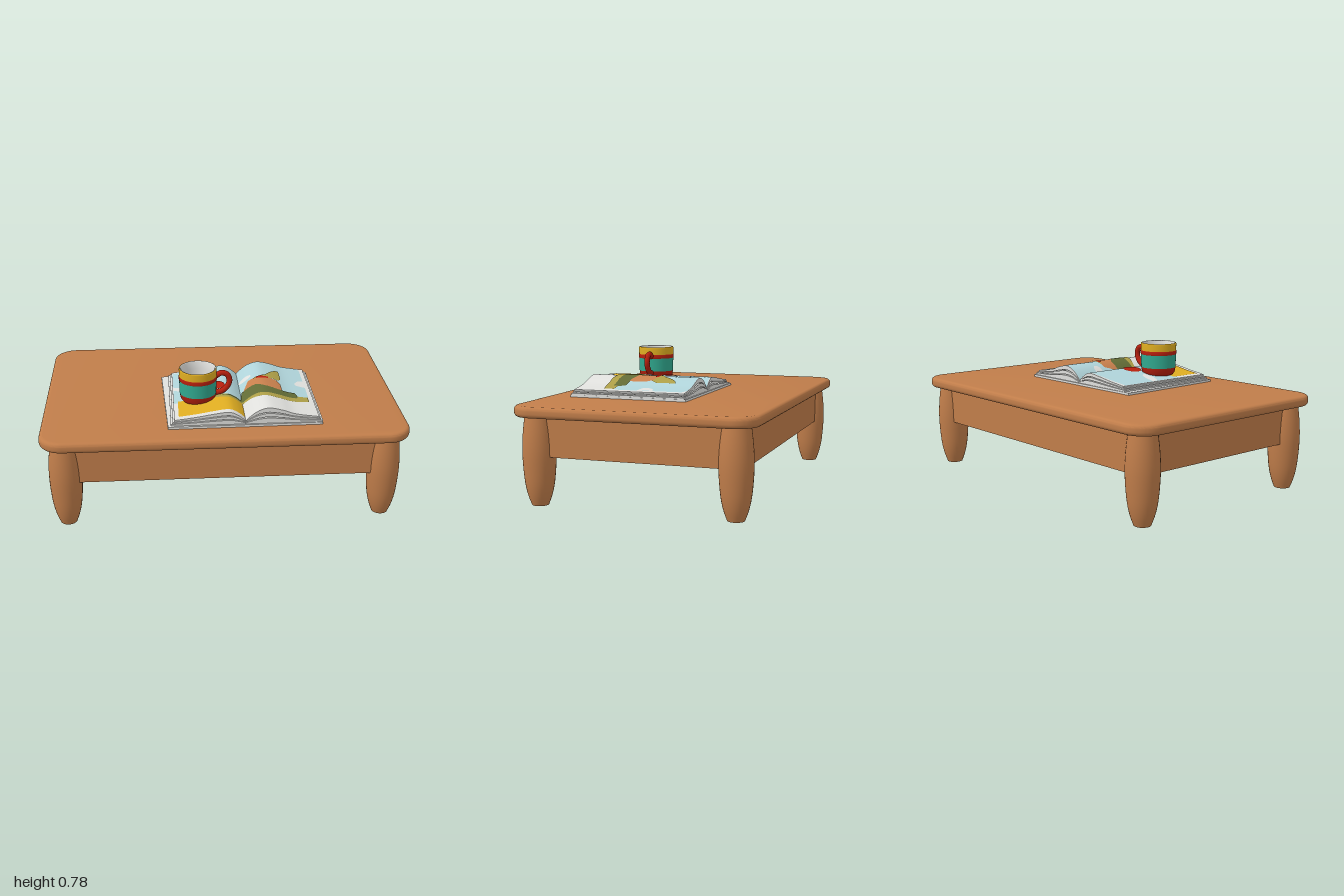
import * as THREE from 'three';
import { toCreasedNormals } from 'three/addons/utils/BufferGeometryUtils.js';

const mat = (name, color, side = THREE.FrontSide) =>
  Object.assign(new THREE.MeshStandardMaterial({ color, side }), { name });

const wood = mat('wood', 0xc07d4a);
const white = mat('paperWhite', 0xe0e0dd, THREE.DoubleSide);
const sky = mat('skyBlue', 0xb0d4da);
const yellow = mat('yellow', 0xe0ae22, THREE.DoubleSide);
const olive = mat('olive', 0xae9f47);
const darkGreen = mat('darkGreen', 0x636c36);
const red = mat('red', 0xb8200e, THREE.DoubleSide);
const teal = mat('teal', 0x31aa90, THREE.DoubleSide);
const coffeeBrown = mat('coffeeBrown', 0x40220c);
const orange = mat('orange', 0xc9804d);

function add(parent, name, geometry, material) {
  const mesh = new THREE.Mesh(geometry, material);
  mesh.name = name;
  parent.add(mesh);
  return mesh;
}

function namedGroup(parent, name) {
  const group = new THREE.Group();
  group.name = name;
  parent.add(group);
  return group;
}

const vec2 = (points) => points.map(([x, y]) => new THREE.Vector2(x, y));

// ---------- table ----------
const TOP_LOW = 0.478, TOP_HIGH = 0.537;

function roundedRect(w, d, r) {
  const s = new THREE.Shape();
  s.absarc(w - r, d - r, r, 0, Math.PI / 2);
  s.absarc(-w + r, d - r, r, Math.PI / 2, Math.PI);
  s.absarc(-w + r, -d + r, r, Math.PI, Math.PI * 1.5);
  s.absarc(w - r, -d + r, r, Math.PI * 1.5, Math.PI * 2);
  s.closePath();
  return s;
}

function buildTable(root) {
  const table = namedGroup(root, 'table');

  // rounded slab with soft edges
  const b = 0.022;
  const slab = new THREE.ExtrudeGeometry(roundedRect(1 - b, 0.67 - b, 0.11), {
    depth: TOP_HIGH - TOP_LOW - 2 * b, bevelThickness: b, bevelSize: b, bevelSegments: 5, curveSegments: 12,
  });
  slab.rotateX(-Math.PI / 2).translate(0, TOP_LOW + b, 0);
  add(table, 'tableTop', toCreasedNormals(slab, 0.6), wood);

  // closed box under the top, its corners buried in the legs
  const apron = new THREE.BoxGeometry(1.82, 0.22, 1.18).translate(0, 0.375, 0);
  add(table, 'apron', apron, wood);

  // bulging turned legs
  const side = new THREE.SplineCurve(vec2([
    [0.045, 0], [0.066, 0.06], [0.081, 0.14], [0.09, 0.27], [0.086, 0.38], [0.073, 0.49],
  ])).getPoints(20);
  const leg = new THREE.LatheGeometry([new THREE.Vector2(0, 0), new THREE.Vector2(0.045, 0), ...side], 32);
  for (const x of [-0.87, 0.87]) {
    for (const z of [-0.542, 0.542]) {
      add(table, (z > 0 ? 'front' : 'back') + (x > 0 ? 'Left' : 'Right') + 'Leg', leg, wood)
        .position.set(x, 0, z);
    }
  }
}

// ---------- open book ----------
const SPINE = 0.11, COVER_TOP = 0.55;
const leftPage = new THREE.SplineCurve(vec2([
  [0, 0.565], [0.04, 0.598], [0.09, 0.618], [0.18, 0.608], [0.28, 0.592], [0.44, 0.572],
])).getPoints(60);
const rightPage = new THREE.SplineCurve(vec2([
  [0, 0.565], [0.04, 0.602], [0.08, 0.626], [0.13, 0.637], [0.2, 0.622], [0.28, 0.596], [0.44, 0.572],
])).getPoints(60);

// height of the uppermost page at x
function pageY(x) {
  const pts = x < SPINE ? leftPage : rightPage;
  const t = Math.abs(x - SPINE);
  let i = 1;
  while (i < pts.length - 1 && pts[i].x < t) i++;
  const a = pts[i - 1], c = pts[i];
  return a.y + (c.y - a.y) * (t - a.x) / (c.x - a.x);
}

// painted plate following the page; rows are [x, back z, front z]
function patch(parent, name, material, layer, rows) {
  const pos = [], index = [];
  const lift = 0.0015 * layer;
  for (let r = 0; r < rows.length - 1; r++) {
    const [a, c] = [rows[r], rows[r + 1]];
    const n = Math.max(1, Math.ceil((c[0] - a[0]) / 0.012));
    for (let k = r === 0 ? 0 : 1; k <= n; k++) {
      const [x, z0, z1] = a.map((v, i) => v + (c[i] - v) * k / n);
      pos.push(x, pageY(x) + lift, z0, x, pageY(x) + lift, z1);
    }
  }
  for (let i = 0; i < pos.length / 3 - 2; i += 2) index.push(i, i + 1, i + 3, i, i + 3, i + 2);
  const g = new THREE.BufferGeometry();
  g.setAttribute('position', new THREE.Float32BufferAttribute(pos, 3));
  g.setIndex(index);
  g.computeVertexNormals();
  add(parent, name, g, material);
}

function ellipseRows(cx, cz, rx, rz) {
  return Array.from({ length: 17 }, (_, i) => {
    const a = Math.PI * i / 16, h = rz * Math.sin(a);
    return [cx - rx * Math.cos(a), cz - h, cz + h];
  });
}

function buildBook(root) {
  const book = namedGroup(root, 'openBook');

  // cover, slightly skewed on one side
  const cover = new THREE.ExtrudeGeometry(
    new THREE.Shape(vec2([[-0.31, -0.53], [0.53, -0.52], [0.535, 0.16], [-0.335, 0.155]])),
    { depth: COVER_TOP - TOP_HIGH, bevelEnabled: false });
  add(book, 'cover', cover.rotateX(-Math.PI / 2).translate(0, TOP_HIGH, 0), white);

  // page stacks: thinner and wider towards the cover
  const levels = [0, 0.35, 0.65, 1];
  for (const s of [-1, 1]) {
    for (let k = 0; k < 3; k++) {
      const reach = (s < 0 ? 0.385 : 0.4) + (2 - k) * 0.01;
      const top = [], bottom = [];
      for (let i = 0; i <= 28; i++) {
        const x = SPINE + s * Math.max(0.0005, reach * i / 28);
        const h = pageY(x) - COVER_TOP;
        top.push([x, COVER_TOP + h * levels[k + 1]]);
        bottom.unshift([x, COVER_TOP + h * (levels[k] + (k ? 0.06 : 0))]);
      }
      const inset = k * 0.004;
      const g = new THREE.ExtrudeGeometry(new THREE.Shape(vec2([...top, ...bottom])),
        { depth: 0.665 - 2 * inset, bevelEnabled: false });
      g.translate(0, 0, -0.15 + inset);
      add(book, (s < 0 ? 'right' : 'left') + 'PageStack', toCreasedNormals(g, 0.5), white);
    }
  }

  // picture spread
  const art = namedGroup(book, 'pagePicture');
  patch(art, 'skyRight', sky, 1, [[-0.27, -0.12, 0.3], [0.11, -0.14, 0.3]]);
  patch(art, 'skyLeft', sky, 1, [[0.11, -0.14, 0.3], [0.45, -0.14, 0.29], [0.485, -0.12, 0.27]]);
  patch(art, 'cloud', white, 2, [[-0.27, 0.09, 0.13], [-0.2, 0.1, 0.16], [-0.15, 0.12, 0.16], [-0.13, 0.15, 0.16]]);
  patch(art, 'cloudSmall', white, 2, ellipseRows(0.145, 0.035, 0.035, 0.025));
  patch(art, 'cloudEdge', white, 2, [[0.43, 0.09, 0.12], [0.45, 0.06, 0.13], [0.485, 0.05, 0.14]]);
  patch(art, 'field', yellow, 2, [[-0.25, 0.28, 0.475], [-0.1, 0.29, 0.475], [0.11, 0.3, 0.47]]);
  patch(art, 'hill', olive, 3, [[-0.06, 0.28, 0.3], [0.0, 0.27, 0.31], [0.11, 0.27, 0.31],
    [0.2, 0.27, 0.34], [0.3, 0.28, 0.36], [0.4, 0.28, 0.355], [0.48, 0.28, 0.34]]);
  patch(art, 'figure', orange, 3, [[0.125, 0.18, 0.2], [0.16, 0.09, 0.22], [0.27, 0.085, 0.27],
    [0.32, 0.11, 0.27], [0.34, 0.15, 0.25]]);
  patch(art, 'bush', darkGreen, 4, [[0.0, 0.28, 0.29], [0.105, 0.275, 0.295], [0.115, 0.175, 0.295],
    [0.2, 0.18, 0.3], [0.24, 0.215, 0.31], [0.32, 0.24, 0.315], [0.41, 0.24, 0.31], [0.42, 0.27, 0.3]]);
  patch(art, 'hat', olive, 4, [[0.19, 0.09, 0.1], [0.26, 0.06, 0.09], [0.3, 0.0, 0.1],
    [0.33, -0.03, 0.11], [0.35, -0.035, 0.08]]);
  patch(art, 'scarf', red, 5, [[0.205, 0.085, 0.105], [0.24, 0.085, 0.11], [0.275, 0.09, 0.11]]);
  patch(art, 'sun', red, 4, ellipseRows(-0.033, 0.145, 0.055, 0.055));
}

// ---------- mug ----------
function buildMug(root) {
  const mug = namedGroup(root, 'mug');
  mug.position.set(-0.136, 0.585, 0.262);
  const band = (name, material, points) =>
    add(mug, name, new THREE.LatheGeometry(vec2(points), 40), material);

  band('base', red, [[0, 0], [0.07, 0], [0.086, 0.007], [0.097, 0.022], [0.102, 0.05]]);
  band('tealBand', teal, [[0.102, 0.05], [0.103, 0.09], [0.104, 0.13]]);
  band('redStripe', red, [[0.104, 0.127], [0.106, 0.13], [0.106, 0.147], [0.104, 0.15]]);
  band('yellowBand', yellow, [[0.104, 0.149], [0.105, 0.188], [0.103, 0.194], [0.1, 0.195]]);
  band('inside', white, [[0.1, 0.195], [0.093, 0.192], [0.089, 0.15], [0.085, 0.07]]);
  add(mug, 'coffee', new THREE.CircleGeometry(0.086, 40).rotateX(-Math.PI / 2).translate(0, 0.085, 0), coffeeBrown);

  // looped handle, turned slightly backwards
  const path = new THREE.CatmullRomCurve3([
    [0.098, 0.14], [0.13, 0.157], [0.162, 0.148], [0.177, 0.112], [0.164, 0.075], [0.135, 0.05], [0.098, 0.04],
  ].map(([x, y]) => new THREE.Vector3(x, y, 0)));
  add(mug, 'handle', new THREE.TubeGeometry(path, 36, 0.016, 12), red).rotation.y = 0.05;
}

export function createModel() {
  const root = new THREE.Group();
  root.name = 'coffeeTable';
  buildTable(root);
  buildBook(root);
  buildMug(root);
  return root;
}
